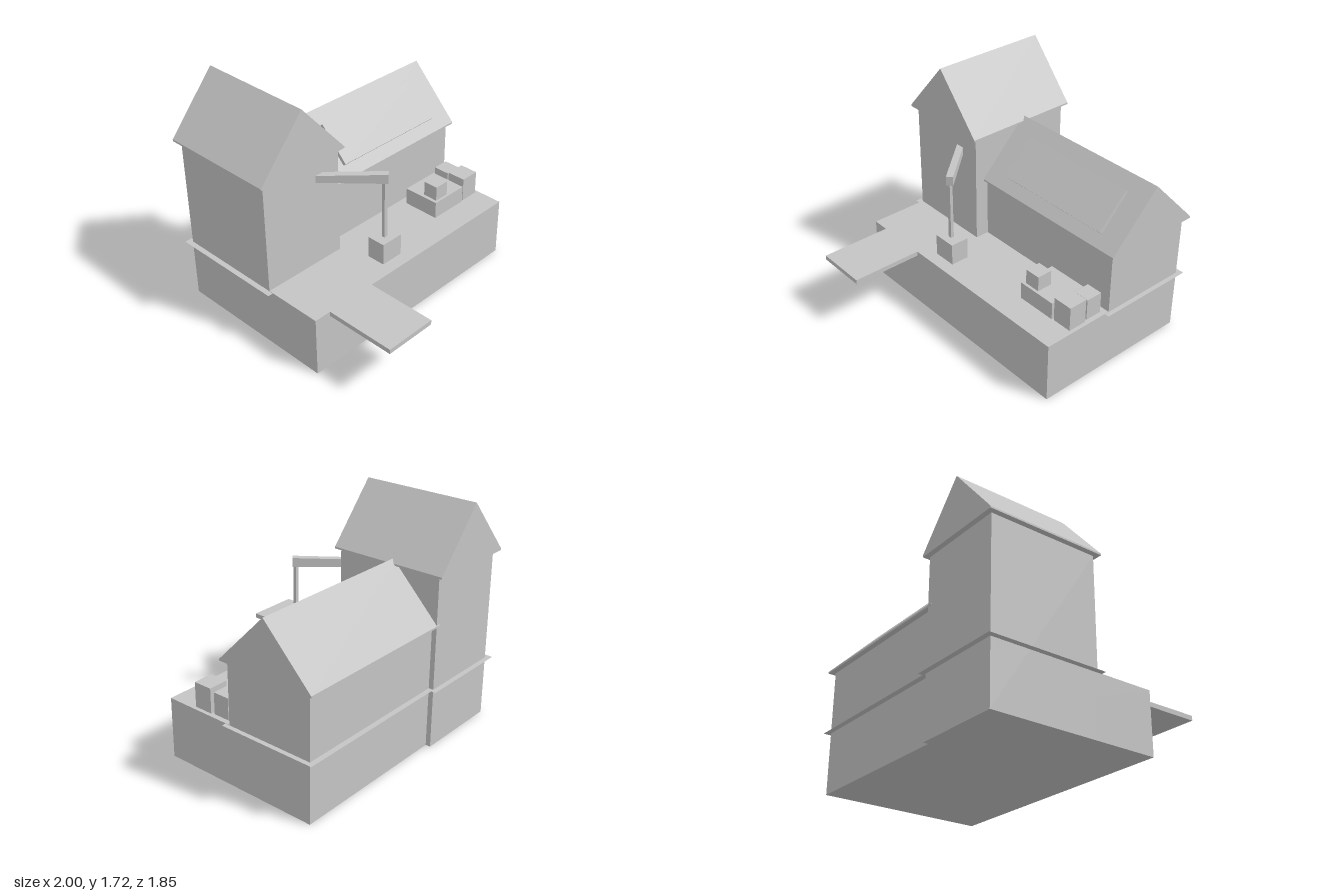
import * as THREE from 'three';

export function createModel() {
  const model = new THREE.Group();
  model.name = 'harbourWarehouse';
  const grey = new THREE.MeshStandardMaterial({ color: 0xc4c4c4 });
  grey.name = 'plain grey';
  const greySheet = new THREE.MeshStandardMaterial({ color: 0xc4c4c4, side: THREE.DoubleSide });
  greySheet.name = 'plain grey sheet';

  const add = (name, geometry, material = grey) => {
    const mesh = new THREE.Mesh(geometry, material);
    mesh.name = name;
    model.add(mesh);
    return mesh;
  };

  // Box given by its limits on each axis
  const block = (name, [x0, x1], [y0, y1], [z0, z1]) => {
    const mesh = add(name, new THREE.BoxGeometry(x1 - x0, y1 - y0, z1 - z0));
    mesh.position.set((x0 + x1) / 2, (y0 + y1) / 2, (z0 + z1) / 2);
    return mesh;
  };

  // Gable prism with a thin lip at the eaves, ridge along local z
  const gable = (name, span, rise, length) => {
    const h = span / 2, lip = 0.013;
    const shape = new THREE.Shape([
      new THREE.Vector2(-h, 0), new THREE.Vector2(h, 0), new THREE.Vector2(h, lip),
      new THREE.Vector2(0, rise), new THREE.Vector2(-h, lip),
    ]);
    const geometry = new THREE.ExtrudeGeometry(shape, { depth: length, bevelEnabled: false });
    geometry.translate(0, 0, -length / 2);
    return add(name, geometry);
  };

  // Thin ledge sheet at deck level
  const ledge = (name, [x0, x1], [z0, z1]) => {
    const mesh = add(name, new THREE.PlaneGeometry(x1 - x0, z1 - z0).rotateX(-Math.PI / 2), greySheet);
    mesh.position.set((x0 + x1) / 2, 0.453, (z0 + z1) / 2);
  };

  // Quay, jetty and buildings
  block('quay', [-0.96, 0.963], [0, 0.455], [-0.85, 0.388]);
  block('jetty', [-0.83, -0.437], [0.42, 0.455], [0.385, 0.922]);
  block('towerWalls', [-0.96, -0.295], [0, 1.287], [-0.887, -0.06]);
  block('houseWalls', [-0.3, 0.963], [0.455, 0.92], [-0.85, -0.167]);
  ledge('towerLedge', [-1, -0.267], [-0.925, -0.026]);
  ledge('houseLedge', [-0.33, 0.997], [-0.89, -0.132]);

  // Roofs
  gable('towerRoof', 0.733, 0.435, 0.899).position.set(-0.6335, 1.287, -0.4755);
  const houseRoof = gable('houseRoof', 0.758, 0.405, 1.327);
  houseRoof.rotation.y = Math.PI / 2;
  houseRoof.position.set(0.3335, 0.92, -0.511);

  // Slab lying on the front roof slope
  const panel = add('roofPanel', new THREE.BoxGeometry(0.93, 0.035, 0.325));
  panel.position.set(0.358, 1.127, -0.305);
  panel.rotation.x = 0.8;

  // Crane: a beam that grows taller towards its tip, a rope and a hanging crate
  const beamLength = 0.49;
  const beamGeometry = new THREE.BoxGeometry(0.05, 0.07, beamLength).translate(0, 0.035, -beamLength / 2);
  const points = beamGeometry.attributes.position;
  for (let i = 0; i < points.count; i++) {
    if (points.getY(i) > 0.01 && points.getZ(i) < -0.1) points.setY(i, 0.053);
  }
  beamGeometry.computeVertexNormals();
  const beam = add('craneBeam', beamGeometry);
  beam.position.set(-0.163, 1.107, 0.283);
  beam.rotation.y = 0.734;
  block('craneRope', [-0.196, -0.168], [0.66, 1.115], [0.255, 0.279]);
  block('hangingCrate', [-0.267, -0.09], [0.505, 0.668], [0.195, 0.335]);

  // Cargo on the quay
  block('wideCrate', [0.463, 0.77], [0.455, 0.586], [-0.11, 0.178]);
  block('stackedCrate', [0.49, 0.61], [0.586, 0.7], [0.04, 0.157]);
  block('frontCrate', [0.785, 0.935], [0.455, 0.64], [0.028, 0.172]);
  block('rearCrate', [0.8, 0.925], [0.455, 0.617], [-0.122, 0.006]);

  return model;
}
